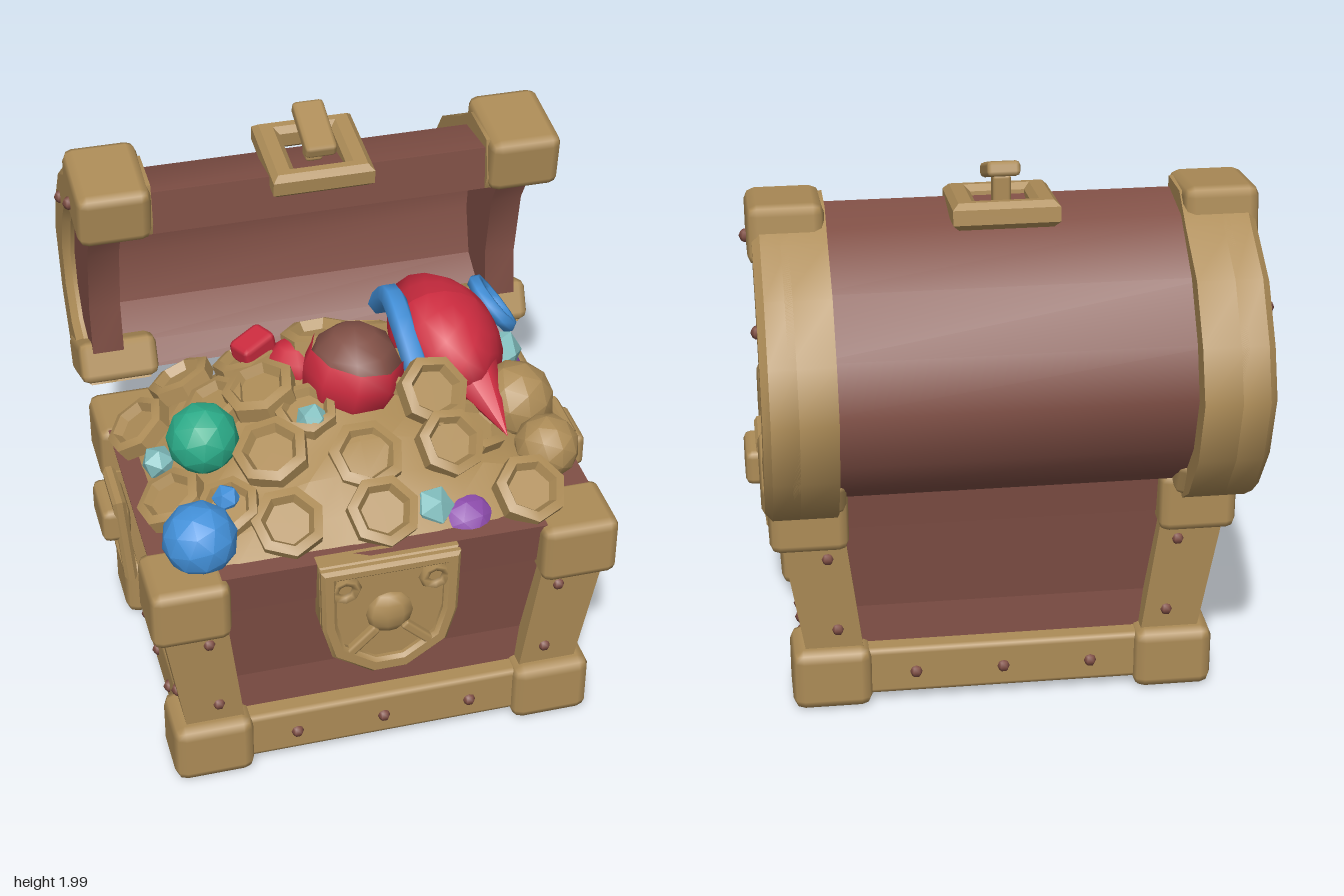
import * as THREE from 'three';
import { toCreasedNormals } from 'three/addons/utils/BufferGeometryUtils.js';
import { RoundedBoxGeometry } from 'three/addons/geometries/RoundedBoxGeometry.js';

const mat = (name, color) => Object.assign(new THREE.MeshStandardMaterial({ color }), { name });
const V = (x, y, z) => new THREE.Vector3(x, y, z);
const CZ = 0.205; // centre of the box in z

export function createModel() {
  const root = new THREE.Group();
  root.name = 'treasureChest';
  const wood = mat('wood', 0x815046), gold = mat('gold', 0xad8c57), red = mat('red', 0xcc2b3f);
  const green = mat('green', 0x2bab88), blue = mat('blue', 0x4391da), aqua = mat('aqua', 0x82bebe), purple = mat('purple', 0x8c4bab);

  const add = (name, geo, material, x = 0, y = 0, z = 0, parent = root) => {
    const m = new THREE.Mesh(geo, material);
    m.name = name;
    m.position.set(x, y, z);
    parent.add(m);
    return m;
  };
  // Box whose bottom and top rectangles differ: [centre x, centre z, width, depth, y]
  const taper = (b, t) => {
    const g = new THREE.BoxGeometry(1, 1, 1), p = g.attributes.position;
    for (let i = 0; i < p.count; i++) {
      const r = p.getY(i) < 0 ? b : t;
      p.setXYZ(i, r[0] + p.getX(i) * r[2], r[4], r[1] + p.getZ(i) * r[3]);
    }
    g.computeVertexNormals();
    return g;
  };
  const block = (w, h, d, r = 0.03) => new RoundedBoxGeometry(w, h, d, 1, r);
  const shapeOf = (pts) => new THREE.Shape(pts.map((p) => new THREE.Vector2(p[0], p[1])));
  const extrude = (shape, depth, bevel) => {
    const g = new THREE.ExtrudeGeometry(shape, {
      depth: depth - 2 * bevel, bevelEnabled: bevel > 0, bevelSize: bevel, bevelThickness: bevel,
      bevelOffset: -bevel, bevelSegments: 1,
    });
    g.translate(0, 0, -depth / 2 + bevel);
    return toCreasedNormals(g, 0.75);
  };
  // Extrude a (z, y) profile along x
  const sideExtrude = (shape, depth, bevel = 0) => extrude(shape, depth, bevel).rotateY(-Math.PI / 2);
  const rivet = (x, y, z) => add('rivet', new THREE.SphereGeometry(0.024, 6, 4), wood, x, y, z);
  const frame = (w, h, hw, hh, hy = 0) => {
    const rect = (a, b, y) => [[-a, y - b], [a, y - b], [a, y + b], [-a, y + b]];
    const s = shapeOf(rect(w / 2, h / 2, 0));
    s.holes.push(shapeOf(rect(hw / 2, hh / 2, hy)));
    return s;
  };

  // Wooden box, flared at the foot and with a thicker rim
  add('boxFoot', taper([0, CZ, 1.3, 0.96, 0.03], [0, CZ, 1.27, 0.92, 0.36]), wood);
  add('boxBody', taper([0, CZ, 1.27, 0.92, 0.36], [0, CZ, 1.42, 1.01, 0.72]), wood);
  add('boxRim', taper([0, CZ, 1.48, 1.03, 0.7], [0, CZ, 1.54, 1.08, 0.865]), wood);

  // Gold rails around the foot
  for (const s of [-1, 1]) {
    add('footRailLong', block(1.1, 0.18, 0.1, 0.02), gold, 0, 0.13, CZ + s * 0.485);
    add('footRailShort', block(0.1, 0.18, 0.75, 0.02), gold, s * 0.645, 0.13, CZ);
    for (const k of [-1, 0, 1]) {
      rivet(k * 0.31, 0.125, CZ + s * 0.532);
      rivet(s * 0.692, 0.125, CZ + k * 0.2);
    }
  }

  // Corner posts with foot and head blocks
  for (const sx of [-1, 1]) for (const sz of [-1, 1]) {
    add('cornerFoot', block(0.28, 0.23, 0.24, 0.04), gold, sx * 0.605, 0.122, CZ + sz * 0.45);
    add('cornerPost', taper([sx * 0.59, CZ + sz * 0.425, 0.2, 0.19, 0.2], [sx * 0.66, CZ + sz * 0.435, 0.22, 0.23, 0.7]), gold);
    add('cornerHead', block(0.27, 0.225, 0.26, 0.035), gold, sx * 0.67, 0.757, CZ + sz * 0.46);
    for (const y of [0.31, 0.6]) {
      rivet(sx * (0.55 + y * 0.1), y, CZ + sz * (0.502 + y * 0.06));
      rivet(sx * (0.655 + y * 0.15), y, CZ + sz * 0.42);
    }
  }

  // Side handles
  for (const s of [-1, 1]) {
    add('handleBracket', block(0.1, 0.13, 0.21, 0.025), gold, s * 0.82, 0.76, 0.16);
    const h = add('handleRing', sideExtrude(frame(0.21, 0.35, 0.12, 0.17, -0.04), 0.045, 0.012), gold, s * 0.795, 0.695, 0.165);
    h.rotation.z = -s * 0.08;
  }

  // Lock plate: shield, raised border, boss and curls
  const lock = new THREE.Group();
  lock.name = 'lock';
  lock.position.z = 0.735;
  root.add(lock);
  const shield = [[-0.24, 0.865], [-0.235, 0.62], [-0.2, 0.49], [-0.06, 0.395], [0.06, 0.395], [0.2, 0.49], [0.235, 0.62], [0.24, 0.865]];
  add('lockPlate', extrude(shapeOf(shield), 0.09, 0.015), gold, 0, 0, 0, lock);
  const border = shapeOf(shield);
  border.holes.push(shapeOf(shield.map(([x, y]) => [x * 0.78, 0.66 + (y - 0.66) * 0.78])));
  add('lockBorder', extrude(border, 0.04, 0.012), gold, 0, 0, 0.05, lock);
  add('lockBoss', new THREE.SphereGeometry(0.085, 9, 6).scale(1, 1, 0.5), gold, 0, 0.64, 0.04, lock);
  for (const s of [-1, 1]) {
    add('lockCurl', new THREE.TorusGeometry(0.04, 0.018, 5, 8), gold, s * 0.155, 0.77, 0.05, lock);
    const bar = add('lockBar', block(0.035, 0.15, 0.04, 0.01), gold, s * 0.1, 0.535, 0.05, lock);
    bar.rotation.z = s * 0.8;
  }

  // Lid: curved wooden shell, closed ends and gold bands, profiles as (z, y)
  const outer = [[-0.12, 1.67], [-0.13, 1.825], [-0.34, 1.8], [-0.54, 1.66], [-0.67, 1.48], [-0.73, 1.31], [-0.67, 1.11], [-0.56, 0.97], [-0.48, 0.91], [-0.33, 0.98]];
  const inner = [[-0.39, 1.06], [-0.53, 1.14], [-0.575, 1.31], [-0.555, 1.48], [-0.5, 1.6], [-0.42, 1.665]];
  add('lidShell', sideExtrude(shapeOf([...outer, ...inner]), 1.36), wood);
  const endShape = shapeOf([...outer, [-0.32, 1.07], [-0.345, 1.25], [-0.3, 1.5], [-0.2, 1.67]]);
  const bandOuter = [[-0.1, 1.72], [-0.12, 1.86], [-0.3, 1.87], [-0.42, 1.79], [-0.62, 1.68], [-0.75, 1.5], [-0.815, 1.33],
    [-0.75, 1.1], [-0.62, 0.92], [-0.52, 0.855], [-0.3, 0.96]];
  const bandInner = [[-0.37, 1.06], [-0.52, 1.1], [-0.6, 1.2], [-0.62, 1.32], [-0.56, 1.48], [-0.45, 1.62], [-0.26, 1.71]];
  const sideShape = shapeOf([...bandOuter, ...bandInner]);
  const wrapShape = shapeOf([...bandOuter, ...[...outer].reverse()]);
  for (const s of [-1, 1]) {
    add('lidEnd', sideExtrude(endShape, 0.11), wood, s * 0.725);
    add('lidBandSide', sideExtrude(sideShape, 0.14, 0.025), gold, s * 0.75);
    add('lidBandWrap', sideExtrude(wrapShape, 0.15), gold, s * 0.655);
    const top = add('lidBandTip', block(0.25, 0.2, 0.32, 0.035), gold, s * 0.71, 1.785, -0.225);
    top.rotation.x = 0.12;
    const low = add('lidBandHeel', block(0.28, 0.15, 0.28, 0.03), gold, s * 0.69, 0.99, -0.435);
    low.rotation.x = -0.42;
    rivet(s * 0.817, 1.57, -0.6);
    rivet(s * 0.835, 1.76, -0.24);
  }

  // Hasp on the lid edge
  const hasp = new THREE.Group();
  hasp.name = 'hasp';
  hasp.position.set(0, 1.825, -0.235);
  root.add(hasp);
  const ring = add('haspFrame', extrude(frame(0.35, 0.33, 0.18, 0.2), 0.09, 0.02), gold, 0, 0, 0, hasp);
  ring.rotation.x = -Math.PI / 2 + 0.12;
  add('haspPin', block(0.06, 0.12, 0.06, 0.01), gold, 0, 0.05, 0, hasp);
  const tongue = add('haspTongue', block(0.11, 0.05, 0.22, 0.015), gold, 0, 0.115, 0.025, hasp);
  tongue.rotation.x = 0.35;

  // Heap of gold, its edge sunk below the rim
  const height = (x, z) => {
    const b = (z - 0.05) / (z > 0.05 ? 0.65 : 0.45);
    return 0.86 + 0.29 * (1 - (x / 0.72) ** 2) * (1 - b * b);
  };
  const heap = new THREE.PlaneGeometry(1.42, 0.98, 14, 10).rotateX(-Math.PI / 2).translate(0, 0, CZ);
  const hp = heap.attributes.position;
  for (let i = 0; i < hp.count; i++) {
    const x = hp.getX(i), z = hp.getZ(i);
    const edge = Math.abs(x) > 0.7 || Math.abs(z - CZ) > 0.48;
    hp.setY(i, edge ? 0.85 : Math.max(0.88, height(x, z) + 0.015 * Math.sin(i * 7.3)));
  }
  add('goldHeap', toCreasedNormals(heap, 0.5), gold);

  // Coins with raised rims, laid along the heap: x, z, radius, lift, extra forward tilt
  const coinGeo = toCreasedNormals(new THREE.LatheGeometry([[0, -0.28], [1, -0.28], [1, 0.18], [0.74, 0.26], [0.6, 0], [0, 0]].map((p) => new THREE.Vector2(...p)), 7), 0.6);
  const coins = [[-0.68, -0.03, 0.12, 0.06], [-0.43, 0.08, 0.12, 0.03], [-0.28, 0.12, 0.13, 0.04], [-0.65, 0.38, 0.12, 0.04], [-0.3, 0.37, 0.13, 0.02],
    [-0.3, 0.6, 0.125, 0.01], [0.01, 0.44, 0.13, -0.01], [0.02, 0.62, 0.125, 0.01], [0.28, 0.31, 0.125, 0.1, 0.6], [0.3, 0.46, 0.12, 0.05, 0.35],
    [0.53, 0.63, 0.125, 0.05, 0.3], [-0.03, -0.05, 0.13, 0.07], [-0.28, -0.08, 0.12, 0.04], [-0.48, 0.5, 0.11, 0.02], [0.62, 0.02, 0.11, 0.02],
    [-0.5, -0.16, 0.12, 0.05], [0.15, -0.18, 0.12, 0.05], [0.22, 0.16, 0.11, 0.04], [0.42, 0.36, 0.11, 0.02], [-0.15, 0.25, 0.11, 0.01],
    [0.5, -0.25, 0.12, 0.04], [0.2, -0.25, 0.12, 0.03]];
  for (const [x, z, r, lift, tilt = 0] of coins) {
    const e = 0.03;
    const n = V(height(x - e, z) - height(x + e, z), 2 * e, height(x, z - e) - height(x, z + e) + tilt * 2 * e).normalize();
    const c = add('coin', coinGeo, gold, x, Math.max(0.88, height(x, z)) + lift, z);
    c.scale.setScalar(r);
    c.quaternion.setFromUnitVectors(V(0, 1, 0), n);
  }

  // Gems and gold nuggets: material, x, y, z, radius
  const gems = [[green, -0.51, 1.075, 0.25, 0.125], [blue, -0.6, 0.935, 0.6, 0.128], [purple, 0.6, 0.92, -0.03, 0.135], [purple, 0.31, 0.82, 0.6, 0.115],
    [aqua, -0.14, 1.11, 0.29, 0.06], [aqua, -0.66, 0.98, 0.22, 0.06], [aqua, 0.2, 0.905, 0.6, 0.075], [aqua, 0.62, 1.06, 0.0, 0.085],
    [green, 0.15, 0.91, 0.57, 0.055], [aqua, 0.62, 0.93, 0.09, 0.08], [gold, 0.61, 1.0, 0.21, 0.14], [gold, 0.66, 0.94, 0.42, 0.115], [blue, -0.48, 0.98, 0.47, 0.05]];
  for (const [m, x, y, z, r] of gems) {
    const g = new THREE.IcosahedronGeometry(r, r > 0.1 ? 1 : 0);
    add(m === gold ? 'nugget' : 'gem', toCreasedNormals(g, 0.4), m, x, y, z).rotation.set(x * 5, z * 7, y);
  }

  // Wooden ball sitting in a red cup
  add('ball', new THREE.SphereGeometry(0.17, 9, 7), wood, 0.05, 1.175, 0.13);
  add('ballCup', new THREE.SphereGeometry(0.18, 9, 5, 0, Math.PI * 2, Math.PI * 0.36, Math.PI * 0.64), red, 0.045, 1.175, 0.13).rotation.z = -0.2;

  // Red cloth with folds, its tail, a scrap and blue trim
  const cloth = new THREE.SphereGeometry(1, 14, 10), cp = cloth.attributes.position;
  for (let i = 0; i < cp.count; i++) {
    const a = Math.atan2(cp.getZ(i), cp.getX(i)), k = 1 + 0.07 * Math.sin(a * 5) * (1 - cp.getY(i) ** 2);
    cp.setXYZ(i, cp.getX(i) * 0.21 * k, cp.getY(i) * 0.18, cp.getZ(i) * 0.28 * k);
  }
  cloth.computeVertexNormals();
  add('cloth', cloth, red, 0.42, 1.14, -0.03).rotation.z = -0.7;
  const path = (...pts) => new THREE.CatmullRomCurve3(pts.map((p) => V(...p)));
  add('clothTail', new THREE.ConeGeometry(0.13, 0.36, 7).rotateX(Math.PI / 2).scale(1, 0.6, 1), red, 0.48, 1.08, 0.26).rotation.set(0.4, 0.2, 0);
  add('clothScrap', block(0.14, 0.08, 0.1, 0.02), red, -0.26, 1.2, -0.06).rotation.set(0, 0.5, 0.2);
  add('clothBack', new THREE.SphereGeometry(0.1, 8, 6), red, -0.13, 1.13, -0.01);
  add('clothTrim', new THREE.TubeGeometry(path([0.25, 1.17, -0.25], [0.25, 1.29, -0.1], [0.25, 1.26, 0.05], [0.27, 1.13, 0.2]), 10, 0.045, 6), blue);
  const loop = add('blueRing', new THREE.TorusGeometry(0.1, 0.028, 6, 10), blue, 0.645, 1.15, -0.17);
  loop.quaternion.setFromUnitVectors(V(0, 0, 1), V(0.8, 0.6, 0).normalize());

  return root;
}
